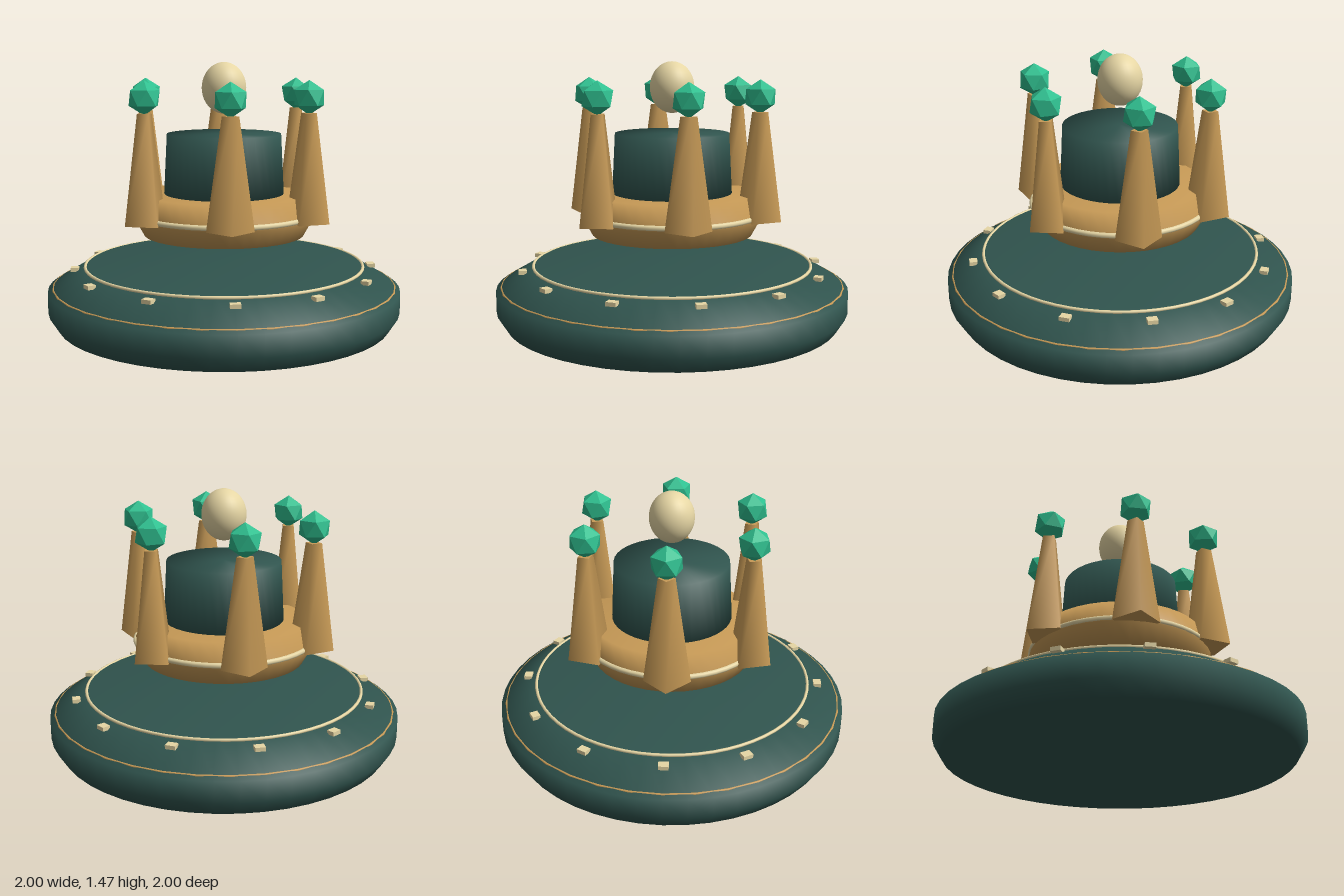
import * as THREE from 'three';

const paint = (color, extra = {}) => new THREE.MeshStandardMaterial({ color, ...extra });

export function createModel() {
  const model = new THREE.Group();
  const green = paint(0x30544e);
  const gold = paint(0xc79a56);
  const cream = paint(0xe6d6a4);
  const emerald = paint(0x2fbf8f, { flatShading: true });

  const add = (name, geometry, material, parent = model) => {
    const mesh = new THREE.Mesh(geometry, material);
    mesh.name = name;
    parent.add(mesh);
    return mesh;
  };
  const lathe = (points, segments) =>
    new THREE.LatheGeometry(points.map(([r, y]) => new THREE.Vector2(r, y)), segments);
  const ring = (name, radius, tube, y, segments, material) => {
    const geometry = new THREE.TorusGeometry(radius, tube, 8, segments).rotateX(Math.PI / 2);
    return add(name, geometry.translate(0, y, 0), material);
  };

  // Wide disc with a bevelled rim
  add('brimDisc', lathe([[0, 0], [0.95, 0], [1, 0.08], [1, 0.2], [0.77, 0.335], [0, 0.335]], 48), green);
  ring('rimTrim', 0.97, 0.007, 0.213, 36, gold);
  ring('innerTrim', 0.79, 0.009, 0.325, 64, cream);

  // Small studs around the sloping shoulder
  for (let i = 0; i < 12; i++) {
    const a = (i / 12) * Math.PI * 2;
    const stud = add('stud', new THREE.BoxGeometry(0.055, 0.022, 0.045), cream);
    stud.position.set(Math.sin(a) * 0.85, 0.302, Math.cos(a) * 0.85);
    stud.rotation.y = a;
  }

  // Floating crown band and the cap inside it
  add('crownBand', lathe([[0, 0.5], [0.455, 0.5], [0.51, 0.6], [0.5, 0.635], [0.465, 0.733], [0, 0.733]], 40), gold);
  ring('bandTrim', 0.502, 0.015, 0.618, 48, cream);
  add('cap', lathe([[0, 0.72], [0.34, 0.72], [0.322, 1.07], [0, 1.07]], 40), green);

  // Six tapered four-sided spires, each topped by a gem standing on its point
  const spireShape = new THREE.CylinderGeometry(0.045, 0.127, 0.6, 4).translate(0, 0.9, 0);
  const gemShape = new THREE.IcosahedronGeometry(0.0935, 0)
    .rotateX(-Math.atan((1 + Math.sqrt(5)) / 2)).translate(0, 1.283, 0);
  for (let i = 0; i < 6; i++) {
    const a = (i / 6) * Math.PI * 2;
    const spire = new THREE.Group();
    spire.name = 'spire';
    spire.position.set(Math.sin(a) * 0.51, 0, Math.cos(a) * 0.51);
    spire.rotation.y = a;
    add('spirePost', spireShape, gold, spire);
    add('spireGem', gemShape, emerald, spire);
    model.add(spire);
  }

  // Egg-shaped finial floating over the cap
  const finial = add('finial', new THREE.SphereGeometry(0.125, 32, 20), cream);
  finial.scale.y = 1.15;
  finial.position.y = 1.326;

  return model;
}
